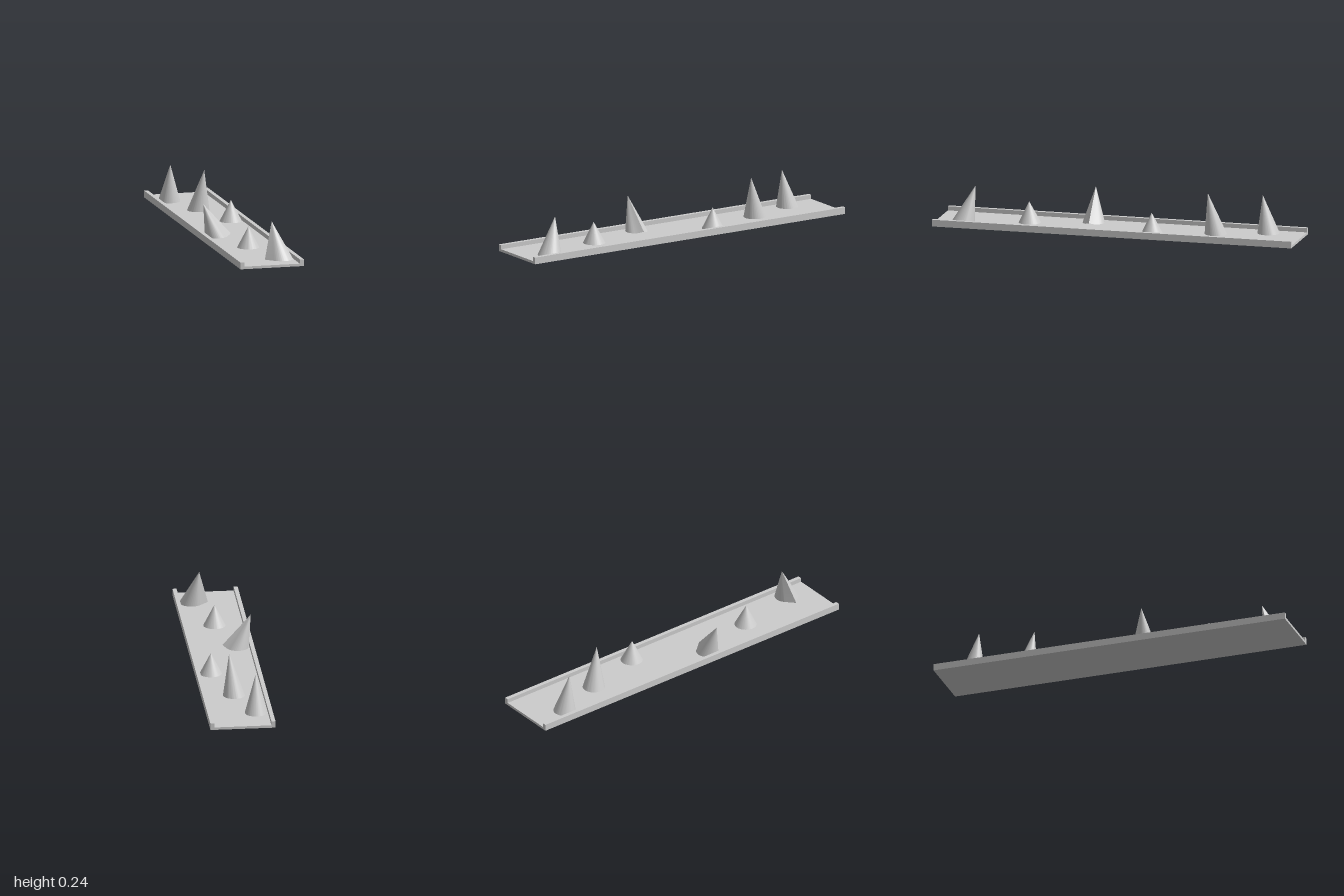
import * as THREE from 'three';
import { toCreasedNormals } from 'three/addons/utils/BufferGeometryUtils.js';

const FLOOR = 0.014, WALL_TOP = 0.037, HALF_W = 0.176, INNER = 0.154;

// Cone with a shifted apex; "pull" stretches the base rim tangentially to one point.
function spikeGeometry({ base, apex, r = 0.06, pull }) {
  const [cx, cz] = base, n = 72, rim = [];
  const dx = pull ? pull[0] - cx : 0, dz = pull ? pull[2] - cz : 0;
  const dist = Math.hypot(dx, dz), phi = Math.atan2(-dz, dx);
  const alpha = pull ? Math.acos(r / dist) : 0;
  for (let i = 0; i < n; i++) {
    const off = Math.PI * (2 * i / n - 1), a = phi + off;
    let rad = r, y = FLOOR;
    if (pull && Math.abs(off) < alpha) {
      rad = r / Math.cos(alpha - Math.abs(off));
      y += (pull[1] - FLOOR) * (rad - r) / (dist - r);
    }
    rim.push([Math.min(cx + rad * Math.cos(a), INNER), y, cz - rad * Math.sin(a)]);
  }
  const pos = [];
  rim.forEach((p, i) => {
    const q = rim[(i + 1) % n];
    pos.push(...apex, ...p, ...q);               // side
    pos.push(cx, FLOOR, cz, ...q, ...p);         // underside
  });
  const geo = new THREE.BufferGeometry();
  geo.setAttribute('position', new THREE.Float32BufferAttribute(pos, 3));
  return toCreasedNormals(geo, 0.5);
}

export function createModel() {
  const model = new THREE.Group();
  const grey = new THREE.MeshStandardMaterial({ color: 0xcccccc });
  grey.name = 'light grey';
  const add = (name, geo) => {
    const mesh = new THREE.Mesh(geo, grey);
    mesh.name = name;
    model.add(mesh);
  };

  // Channel-shaped tray, open at both ends
  const profile = new THREE.Shape([
    [-HALF_W, 0], [HALF_W, 0], [HALF_W, WALL_TOP], [INNER, WALL_TOP],
    [INNER, FLOOR], [-INNER, FLOOR], [-INNER, WALL_TOP], [-HALF_W, WALL_TOP],
  ].map(([x, y]) => new THREE.Vector2(x, y)));
  add('tray', new THREE.ExtrudeGeometry(profile, { depth: 2, bevelEnabled: false }).translate(0, 0, -1));

  // Spikes from back to front: base centre (x, z), apex (x, y, z)
  const spikes = [
    { base: [-0.09, -0.803], apex: [-0.092, 0.221, -0.77] },
    { base: [0, -0.533], apex: [0.023, 0.24, -0.495] },
    { base: [0.092, -0.203], apex: [0.092, 0.13, -0.201] },
    { base: [-0.09, 0.17], apex: [-0.163, 0.195, 0.178], pull: [-0.01, 0.027, 0.176] },
    { base: [0, 0.502], apex: [0, 0.13, 0.506] },
    { base: [0.09, 0.85], apex: [0.053, 0.211, 0.79], r: 0.064, pull: [0, FLOOR, 0.847] },
  ];
  spikes.forEach((s, i) => add(`spike${i + 1}`, spikeGeometry(s)));
  return model;
}
